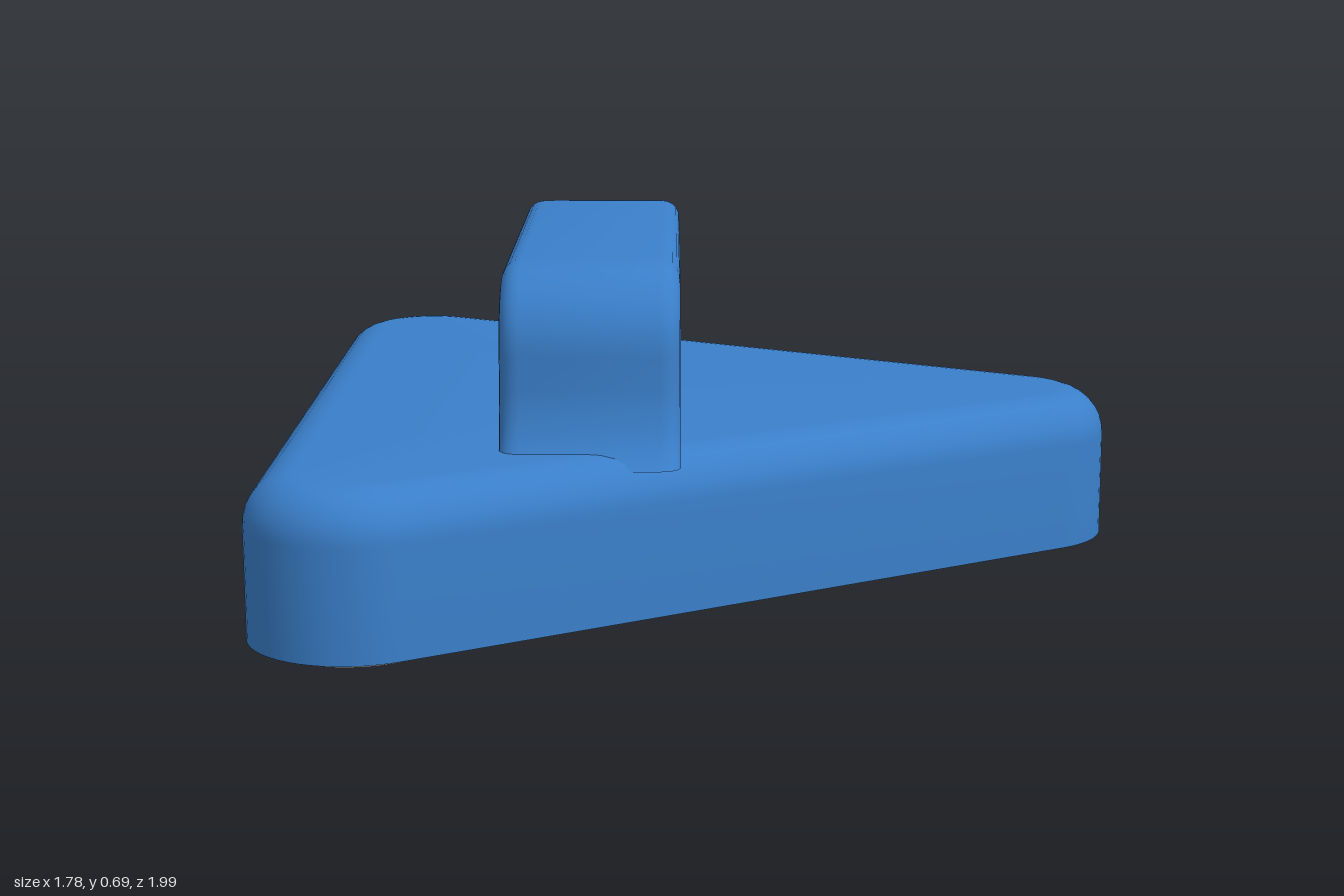
import * as THREE from 'three';
import { toCreasedNormals } from 'three/addons/utils/BufferGeometryUtils.js';

// Closed solid through convex rings, each counterclockwise seen from the end of the loft
function loft(rings) {
  const pos = [];
  const tri = (a, b, c) => pos.push(...a, ...b, ...c);
  const centre = (ring) => [0, 1, 2].map((k) => ring.reduce((s, p) => s + p[k], 0) / ring.length);
  const n = rings[0].length;
  const first = rings[0], last = rings[rings.length - 1];
  const c0 = centre(first), c1 = centre(last);
  for (let i = 0; i < n; i++) {
    const j = (i + 1) % n;
    for (let r = 0; r < rings.length - 1; r++) {
      const p = rings[r], q = rings[r + 1];
      tri(p[i], p[j], q[j]);
      tri(p[i], q[j], q[i]);
    }
    tri(c0, first[j], first[i]);
    tri(c1, last[i], last[j]);
  }
  const geo = new THREE.BufferGeometry();
  geo.setAttribute('position', new THREE.Float32BufferAttribute(pos, 3));
  return toCreasedNormals(geo, 0.6);
}

// Rounded triangle outline at height y, pulled inwards by inset
function triangleRing(inset, y) {
  const radius = 0.21 - inset, ring = [], steps = 18;
  [[0.68, 0], [-0.68, 0.787], [-0.68, -0.787]].forEach(([cx, cz], k) => {
    for (let i = 0; i <= steps; i++) {
      const a = ((k * 120 - 60 + (120 * i) / steps) * Math.PI) / 180;
      ring.push([cx + radius * Math.cos(a), y, -(cz + radius * Math.sin(a))]);
    }
  });
  return ring;
}

// Handle section between an outer and an inner point (z, y), with rounded edges
function handleRing([oz, oy], [iz, iy]) {
  const x0 = -0.41, x1 = -0.05, steps = 5, ring = [];
  const len = Math.hypot(oz - iz, oy - iy);
  const corners = [[x0, len, 0.04, 180], [x1, len, 0.04, 90], [x1, 0, 0.015, 0], [x0, 0, 0.015, -90]];
  for (const [x, t, r, start] of corners) {
    const cx = x === x0 ? x0 + r : x1 - r;
    const ct = t > 0 ? t - r : r;
    for (let i = 0; i <= steps; i++) {
      const a = ((start - (90 * i) / steps) * Math.PI) / 180;
      const s = (ct + r * Math.sin(a)) / len;
      ring.push([cx + r * Math.cos(a), iy + (oy - iy) * s, iz + (oz - iz) * s]);
    }
  }
  return ring;
}

export function createModel() {
  const blue = new THREE.MeshStandardMaterial({ color: 0x3a7fca });
  blue.name = 'blue';
  const grey = new THREE.MeshStandardMaterial({ color: 0x919195 });
  grey.name = 'grey';
  const group = new THREE.Group();
  const add = (name, geo, mat) => {
    const mesh = new THREE.Mesh(geo, mat);
    mesh.name = name;
    group.add(mesh);
  };

  // Body: straight walls and a rounded top edge
  const bodyRings = [triangleRing(0, 0.015)];
  const fillet = 0.1;
  for (let i = 0; i <= 8; i++) {
    const a = (i / 8) * (Math.PI / 2);
    bodyRings.push(triangleRing(fillet * (1 - Math.cos(a)), 0.24 + fillet * Math.sin(a)));
  }
  add('body', loft(bodyRings), blue);

  // Sole pad, slightly inset below the body
  add('solePad', loft([triangleRing(0.04, 0), triangleRing(0.04, 0.02)]), grey);

  // Handle: flared foot, leg, rounded shoulder, then the same mirrored
  const half = [
    [[0.69, 0.31], [0.375, 0.31]],
    [[0.662, 0.34], [0.39, 0.34]],
    [[0.645, 0.38], [0.408, 0.38]],
    [[0.633, 0.42], [0.42, 0.42]],
    [[0.627, 0.46], [0.428, 0.46]],
  ];
  for (let i = 0; i <= 9; i++) {
    const t = i / 9, a = t * (Math.PI / 2);
    half.push([
      [0.455 + 0.17 * Math.cos(a), 0.525 + 0.17 * Math.sin(a)],
      [0.43 + 0.02 * t, 0.525 + 0.02 * t],
    ]);
  }
  const mirrored = half.map(([[oz, oy], [iz, iy]]) => [[-oz, oy], [-iz, iy]]).reverse();
  add('handle', loft([...half, ...mirrored].map(([o, i]) => handleRing(o, i))), blue);

  return group;
}
